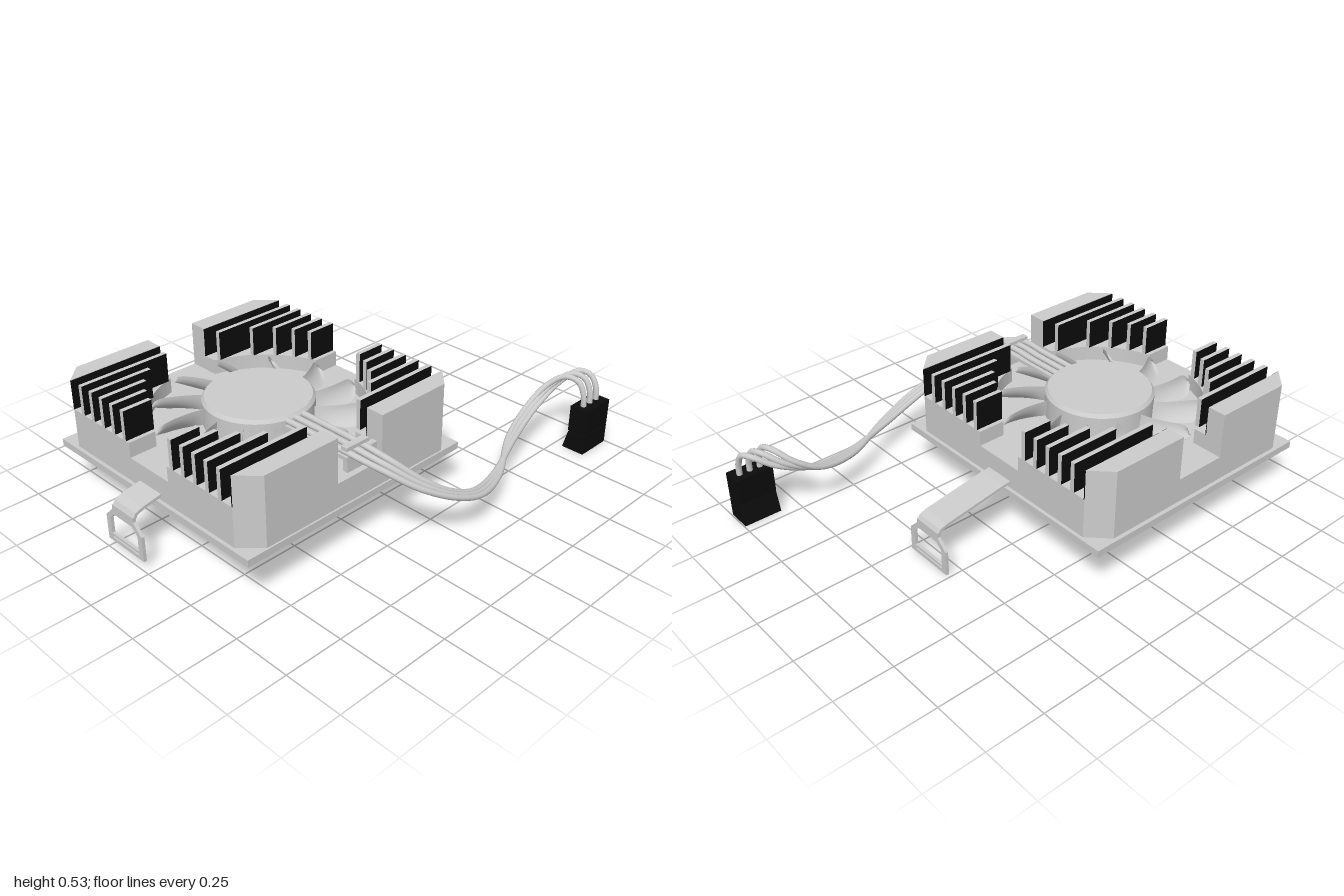
import * as THREE from 'three';

const grey = new THREE.MeshStandardMaterial({ color: 0xcccccc });
const sheet = new THREE.MeshStandardMaterial({ color: 0xcccccc, side: THREE.DoubleSide });
const black = new THREE.MeshStandardMaterial({ color: 0x0c0c0c });

// Centre of the cooler in plan, half sizes, chamfer, fan radius, slot half width
const CX = -0.325, CZ = -0.1325, HX = 0.54, HZ = 0.558, CH = 0.08, R = 0.435, SLOT = 0.115;
const BASE = 0.23, FLOOR = 0.335, LEDGE = 0.4, TOP = 0.527;

export function createModel() {
  const model = new THREE.Group();

  function add(name, geometry, material = grey, parent = model) {
    const mesh = new THREE.Mesh(geometry, material);
    mesh.name = name;
    parent.add(mesh);
    return mesh;
  }
  // Box given by its limits
  function box(name, x0, x1, y0, y1, z0, z1, material, parent) {
    const g = new THREE.BoxGeometry(x1 - x0, y1 - y0, z1 - z0);
    g.translate((x0 + x1) / 2, (y0 + y1) / 2, (z0 + z1) / 2);
    return add(name, g, material, parent);
  }
  const shapeOf = pts => new THREE.Shape(pts.map(p => new THREE.Vector2(p[0], p[1])));
  const extrude = (shape, depth) => new THREE.ExtrudeGeometry(shape, { depth, bevelEnabled: false });
  // Prism from plan points [x, z] between two heights
  function prism(name, pts, y0, y1, parent) {
    const g = extrude(shapeOf(pts.map(([x, z]) => [x, -z])), y1 - y0);
    g.rotateX(-Math.PI / 2);
    g.translate(0, y0, 0);
    return add(name, g, grey, parent);
  }

  // Base plate and lower block
  box('basePlate', -0.88, 0.23, 0.2, BASE, -0.707, 0.433);
  const octagon = [[HX - CH, HZ], [HX, HZ - CH], [HX, CH - HZ], [HX - CH, -HZ],
    [CH - HX, -HZ], [-HX, CH - HZ], [-HX, HZ - CH], [CH - HX, HZ]];
  prism('heatSinkBlock', octagon.map(([x, z]) => [CX + x, CZ + z]), BASE, FLOOR);

  // Four corners: ledge cut by the fan circle, end block and fins
  for (const sx of [-1, 1]) for (const sz of [-1, 1]) {
    const corner = new THREE.Group();
    corner.name = 'finCorner';
    model.add(corner);
    const place = ([x, z]) => [CX + sx * x, CZ + sz * z];
    const ledge = [[SLOT, HZ], [HX - CH, HZ], [HX, HZ - CH], [HX, SLOT]];
    const a0 = Math.asin(SLOT / R), a1 = Math.PI / 2 - a0;
    for (let i = 0; i <= 14; i++) {
      const a = a0 + (a1 - a0) * i / 14;
      ledge.push([R * Math.cos(a), R * Math.sin(a)]);
    }
    prism('cornerLedge', ledge.map(place), FLOOR, LEDGE, corner);
    prism('endBlock', [[SLOT, HZ], [HX - CH, HZ], [HX, HZ - CH], [SLOT, HZ - CH]].map(place),
      LEDGE, TOP, corner);

    const span = (x0, x1) => [CX + sx * x0, CX + sx * x1].sort((a, b) => a - b);
    const [e0, e1] = span(SLOT, HX);
    const ez = CZ + sz * (HZ - CH - 0.001);
    box('endBlockFace', e0, e1, LEDGE, TOP - 0.002, ez - 0.002, ez + 0.002, black, corner);
    for (let i = 0; i < 5; i++) {
      const z = 0.143 + i * 0.0675;
      const [x0, x1] = span(Math.max(SLOT, Math.sqrt(R * R - z * z)), HX);
      const fz = CZ + sz * z;
      box('fin', x0, x1, LEDGE, TOP, fz - 0.01, fz + 0.01,
        [grey, grey, grey, grey, black, black], corner);
    }
  }

  // Fan: hub with a bevelled cap and twelve twisted blades
  const fan = new THREE.Group();
  fan.name = 'fan';
  fan.position.set(CX, 0, CZ);
  model.add(fan);
  add('fanHub', new THREE.CylinderGeometry(0.225, 0.225, 0.1, 64).translate(0, 0.385, 0), grey, fan);
  add('fanHubCap', new THREE.CylinderGeometry(0.214, 0.225, 0.015, 64).translate(0, 0.4425, 0), grey, fan);

  const blade = new THREE.PlaneGeometry(1, 1, 14, 6);
  const p = blade.attributes.position;
  for (let i = 0; i < p.count; i++) {
    const u = p.getX(i) + 0.5, v = p.getY(i);
    const r = 0.215 + 0.205 * u;
    const round = u > 0.75 ? Math.sqrt(Math.max(0.02, 1 - ((u - 0.75) / 0.25) ** 2)) : 1;
    const lean = (0.012 + 0.06 * u) * round * v;
    const side = 0.065 * u * u + lean + 0.02 * u * (1 - 4 * v * v);
    p.setXYZ(i, r, 0.376 + 0.078 * v * round, -side);
  }
  blade.computeVertexNormals();
  for (let i = 0; i < 12; i++) {
    add('fanBlade', blade, sheet, fan).rotation.y = (2 + 30 * i) * Math.PI / 180;
  }

  // Cable tray and retainer in the front slot
  box('cableTray', -0.385, -0.27, 0.4, 0.415, 0.08, 0.415);
  box('cableRetainer', -0.385, -0.27, 0.44, 0.455, 0.385, 0.415);
  box('cableStop', -0.375, -0.22, 0.345, 0.415, 0.385, 0.41);

  // Side clips: bent strip with a hanging loop
  function clip(name, strip, x, drop) {
    const g = new THREE.Group();
    g.name = name;
    model.add(g);
    add('clipArm', extrude(shapeOf(strip), 0.13).translate(0, 0, -0.2), grey, g);
    const loop = shapeOf([[-0.065, 0.185], [-0.065, 0.165], [-0.11, 0.12], [-0.11, 0.012],
      [0.11, 0.012], [0.11, 0.12], [0.065, 0.165], [0.065, 0.185]]);
    for (const [y0, y1, y2, w] of [[0.046, 0.115, 0.142, 0.056], [0.028, 0.034, 0.036, 0.083]]) {
      loop.holes.push(new THREE.Path([[-0.084, y0], [0.084, y0], [0.084, y1], [w, y2], [-w, y2], [-0.084, y1]]
        .map(q => new THREE.Vector2(q[0], q[1]))));
    }
    const geo = extrude(loop, 0.013).rotateY(Math.PI / 2);
    add('clipLoop', geo.translate(x, drop, -0.135), grey, g);
  }
  clip('leftClip', [[0.2, 0.262], [0.25, 0.257], [0.53, 0.208], [0.56, 0.197], [0.574, 0.172],
    [0.574, 0.16], [0.561, 0.16], [0.56, 0.172], [0.55, 0.186], [0.525, 0.196], [0.25, 0.245], [0.2, 0.25]], 0.561, 0);
  clip('rightClip', [[-0.85, 0.26], [-0.95, 0.24], [-0.982, 0.228], [-0.997, 0.2], [-0.997, 0.19],
    [-0.984, 0.19], [-0.984, 0.2], [-0.974, 0.217], [-0.945, 0.228], [-0.85, 0.247]], -0.997, 0.028);

  // Three wires: centre path, with the sideways spread [dx, dz] at each point
  const path = [
    [-0.33, 0.43, 0.08, 0.04, 0], [-0.33, 0.43, 0.25, 0.04, 0], [-0.33, 0.428, 0.41, 0.04, 0],
    [-0.29, 0.39, 0.52, 0.035, -0.008], [-0.2, 0.31, 0.61, 0.025, -0.018], [-0.08, 0.235, 0.665, 0.01, -0.02],
    [0.06, 0.18, 0.675, 0, -0.02], [0.25, 0.152, 0.62, 0, -0.012], [0.5, 0.165, 0.5, 0, 0.014],
    [0.7, 0.21, 0.447, 0.015, 0.014], [0.83, 0.28, 0.46, 0.035, 0.01], [0.89, 0.325, 0.51, 0.045, 0.005],
    [0.908, 0.315, 0.565, 0.046, 0], [0.912, 0.26, 0.595, 0.046, 0], [0.912, 0.2, 0.6, 0.046, 0]];
  for (const k of [-1, 0, 1]) {
    const curve = new THREE.CatmullRomCurve3(path.map(([x, y, z, dx, dz]) =>
      new THREE.Vector3(x + k * dx, y, z + k * dz)));
    add('wire', new THREE.TubeGeometry(curve, 100, 0.0125, 12));
  }

  // Plug: upper housing and tapered lower part
  const plug = new THREE.Group();
  plug.name = 'plug';
  model.add(plug);
  box('plugHousing', 0.83, 0.995, 0.09, 0.21, 0.56, 0.645, black, plug);
  box('plugNeck', 0.835, 0.99, 0.08, 0.095, 0.57, 0.64, black, plug);
  const foot = extrude(shapeOf([[-0.645, 0], [-0.54, 0], [-0.562, 0.085], [-0.645, 0.085]]), 0.165);
  add('plugFoot', foot.rotateY(Math.PI / 2).translate(0.83, 0, 0), black, plug);

  // Shape x runs along -z after the turn, so the taper faces the back
  return model;
}
